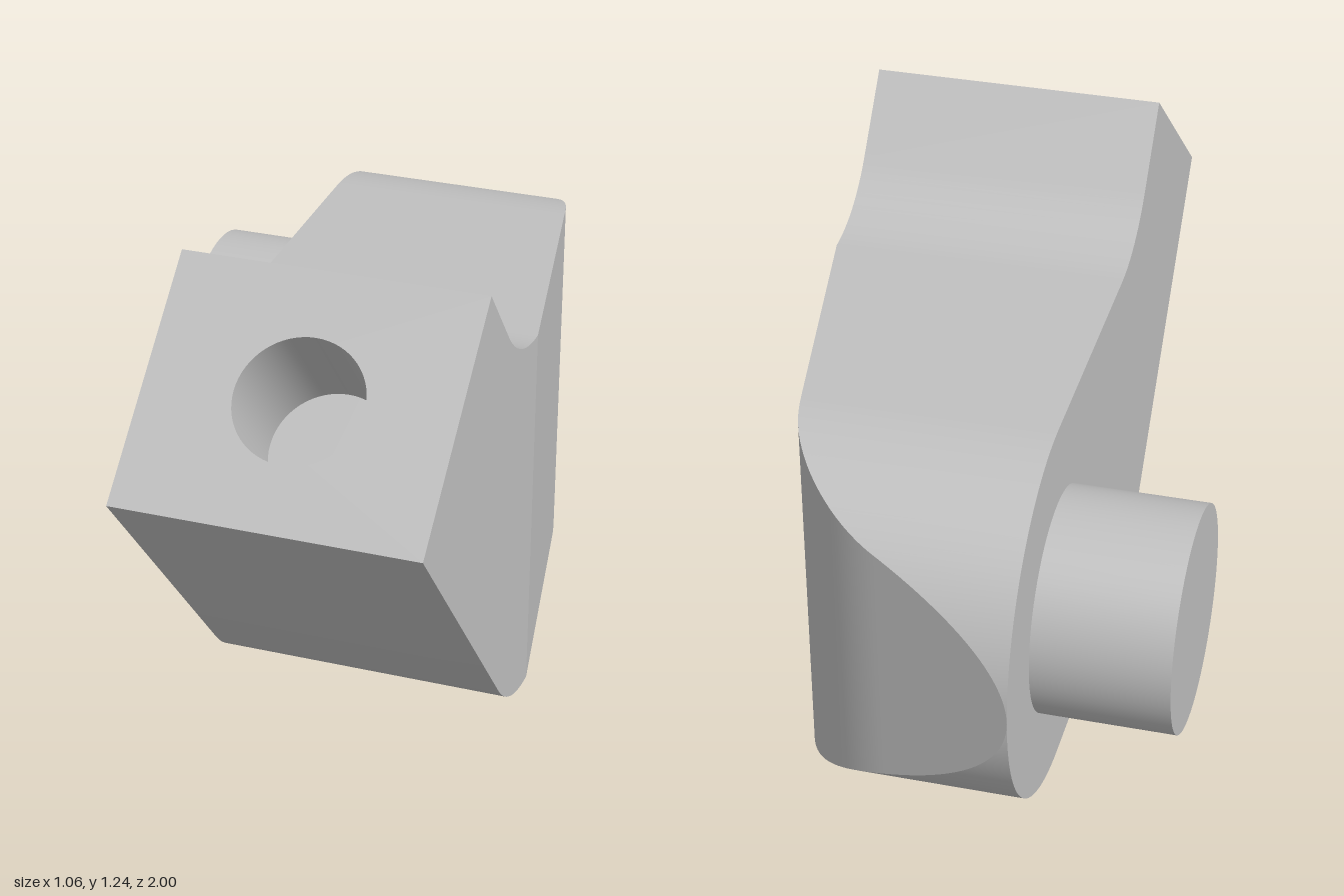
import * as THREE from 'three';
import { toCreasedNormals } from 'three/addons/utils/BufferGeometryUtils.js';

const LEFT = -0.2, RIGHT = 0.527;            // x limits of the body
const R = 0.4765, BACK = -0.5235;            // rounded back end: radius and centre z
const BEND = 0.13, BEND_R = 0.33;            // start and radius of the upward bend
const TOP_Z = 0.53, TOP_Y = 1.24, TIP_Y = 0.83;
const TILT = Math.atan2(1 - TOP_Z, TOP_Y - TIP_Y);
const BEND_END = BEND + BEND_R * Math.sin(TILT);

// Height of the bend above its base line, rising into a straight slope
const rise = (z) => {
  if (z <= BEND) return 0;
  const a = Math.min(z, BEND_END) - BEND;
  return BEND_R - Math.sqrt(BEND_R * BEND_R - a * a);
};
const round = (z) => (z < BACK ? Math.sqrt(Math.max(0, R * R - (z - BACK) ** 2)) : R);

const lower = (z) => z <= BEND_END ? R - round(z) + rise(z)
  : THREE.MathUtils.mapLinear(z, BEND_END, 1, rise(BEND_END), TIP_Y);
const upper = (z) => {
  if (z <= BEND_END) return R + round(z) + rise(z);
  if (z <= TOP_Z) return THREE.MathUtils.mapLinear(z, BEND_END, TOP_Z, 2 * R + rise(BEND_END), TOP_Y);
  return THREE.MathUtils.mapLinear(z, TOP_Z, 1, TOP_Y, TIP_Y);
};

// Outer side seen from above: slanted back, rounded shoulder, taper, straight
const outer = (z) => {
  if (z < -0.878) return THREE.MathUtils.mapLinear(z, -1, -0.878, LEFT, 0.137);
  if (z < -0.569) return 0.003 + Math.sqrt(0.403 ** 2 - (z + 0.498) ** 2);
  if (z < BEND) return THREE.MathUtils.mapLinear(z, -0.569, BEND, 0.4, RIGHT);
  return RIGHT;
};

// Rectangular cross-sections lofted from back to front; the end face stays open
function bodyGeometry() {
  const stations = [-0.878, -0.569, BEND, TOP_Z, 1];
  for (let i = 0; i <= 48; i++) stations.push(BACK - R * Math.cos((i / 48) * Math.PI / 2));
  for (let i = 1; i <= 12; i++) stations.push(BEND + BEND_R * Math.sin((i / 12) * TILT));
  stations.sort((a, b) => a - b);
  const sections = stations.map((z) => {
    const x = outer(z), lo = lower(z), hi = upper(z);
    return [[LEFT, lo, z], [x, lo, z], [x, hi, z], [LEFT, hi, z]];
  });
  const pos = [];
  for (let i = 0; i < sections.length - 1; i++) {
    const a = sections[i], b = sections[i + 1];
    for (let k = 0; k < 4; k++) {
      if (k === 2 && i === sections.length - 2) continue;
      const n = (k + 1) % 4;
      if (i > 0) pos.push(...a[k], ...a[n], ...b[n]);
      pos.push(...a[k], ...b[n], ...b[k]);
    }
  }
  const g = new THREE.BufferGeometry();
  g.setAttribute('position', new THREE.Float32BufferAttribute(pos, 3));
  return toCreasedNormals(g, 0.14);
}

export function createModel() {
  const model = new THREE.Group();
  model.name = 'bracket';
  const grey = new THREE.MeshStandardMaterial({ color: 0xc0c0c0, side: THREE.DoubleSide });
  grey.name = 'light grey';
  const add = (parent, name, geometry) => {
    const mesh = new THREE.Mesh(geometry, grey);
    mesh.name = name;
    parent.add(mesh);
    return mesh;
  };

  add(model, 'body', bodyGeometry());

  // Round pivot pin on the flat side
  const pin = add(model, 'pivotPin', new THREE.CylinderGeometry(0.273, 0.273, 0.33, 64));
  pin.rotation.z = Math.PI / 2;
  pin.position.set(-0.365, R, -0.527);

  // Tilted end face with a blind hole
  const end = new THREE.Group();
  end.name = 'armEnd';
  end.position.set((LEFT + RIGHT) / 2, (TOP_Y + TIP_Y) / 2, (TOP_Z + 1) / 2);
  end.rotation.x = -TILT;
  model.add(end);

  const w = (RIGHT - LEFT) / 2, h = Math.hypot(1 - TOP_Z, TOP_Y - TIP_Y) / 2;
  const holeR = 0.152, depth = 0.335;
  const face = new THREE.Shape([[-w, -h], [w, -h], [w, h], [-w, h]].map((p) => new THREE.Vector2(...p)));
  face.holes.push(new THREE.Path().absarc(0, 0, holeR, 0, Math.PI * 2, true));
  add(end, 'endFace', new THREE.ShapeGeometry(face, 32));

  const profile = [[holeR, 0], [holeR, -depth], [0, -depth]].map((p) => new THREE.Vector2(...p));
  const hole = new THREE.LatheGeometry(profile, 64).rotateX(Math.PI / 2);
  add(end, 'blindHole', toCreasedNormals(hole, 0.6));

  return model;
}
